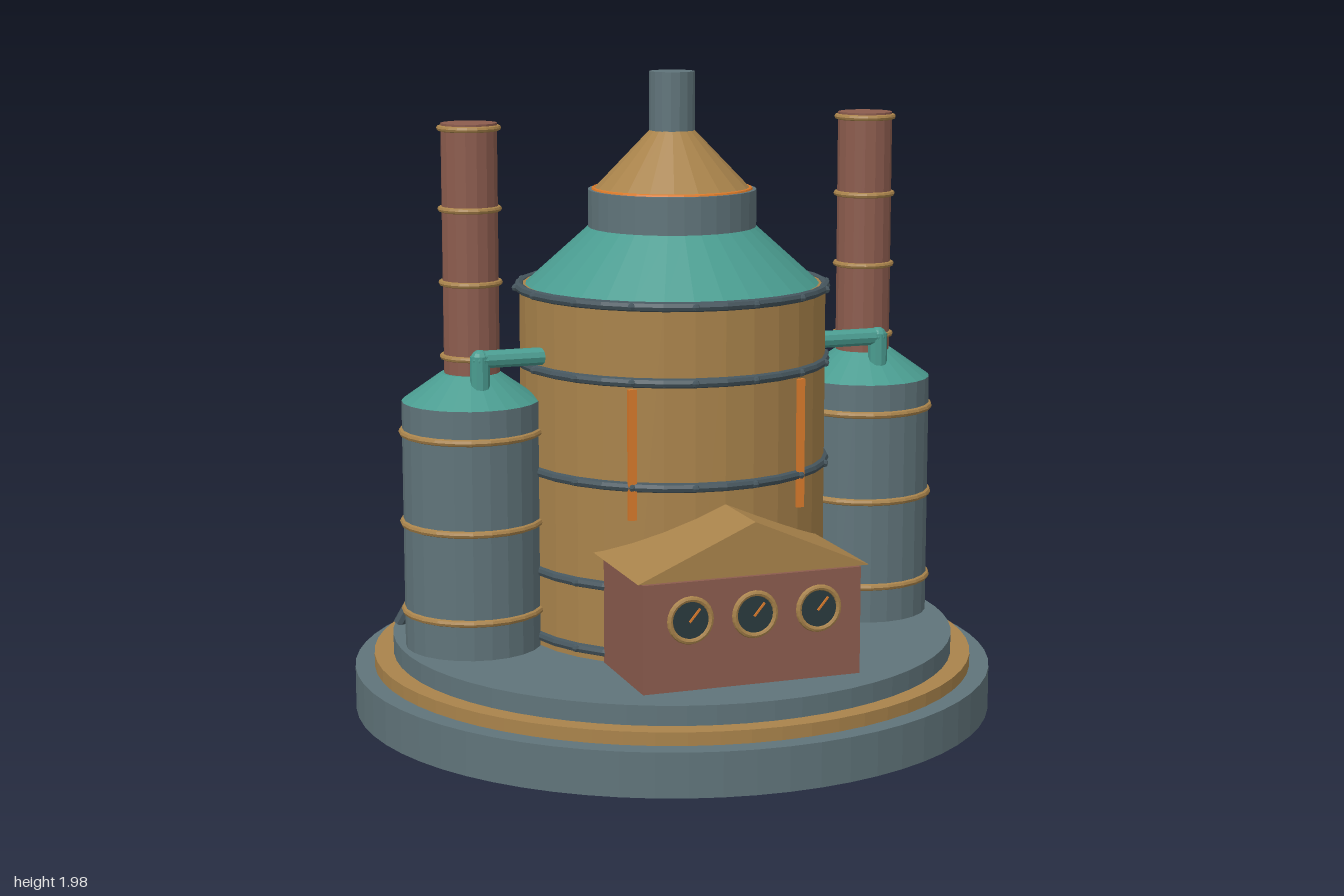
import * as THREE from 'three';

const paint = (color) => new THREE.MeshStandardMaterial({ color, flatShading: true });
const STEEL = paint(0x60747a), IRON = paint(0x46565e), BRASS = paint(0xa9834b), TEAL = paint(0x4a9c90);
const BRICK = paint(0x8c5c4e), ORANGE = paint(0xd97a2b), DARK = paint(0x2a3a3e);

function add(parent, name, geometry, material, x = 0, y = 0, z = 0) {
  const mesh = new THREE.Mesh(geometry, material);
  mesh.name = name;
  mesh.position.set(x, y, z);
  parent.add(mesh);
  return mesh;
}

// upright cylinder or cone frustum between two heights
function drum(parent, name, material, r0, r1, y0, y1, sides = 32) {
  return add(parent, name, new THREE.CylinderGeometry(r1, r0, y1 - y0, sides), material, 0, (y0 + y1) / 2, 0);
}

// horizontal hoop
function hoop(parent, name, material, r, tube, y, sides = 32) {
  const mesh = add(parent, name, new THREE.TorusGeometry(r, tube, 8, sides), material, 0, y, 0);
  mesh.rotation.x = Math.PI / 2;
  return mesh;
}

// round bar between two points
function rod(parent, name, material, a, b, r, sides = 10) {
  const from = new THREE.Vector3(...a), to = new THREE.Vector3(...b);
  const dir = to.clone().sub(from);
  const mesh = add(parent, name, new THREE.CylinderGeometry(r, r, dir.length(), sides), material);
  mesh.position.copy(from).add(to).multiplyScalar(0.5);
  mesh.quaternion.setFromUnitVectors(new THREE.Vector3(0, 1, 0), dir.normalize());
  return mesh;
}

function group(parent, name, x = 0) {
  const g = new THREE.Group();
  g.name = name;
  g.position.x = x;
  parent.add(g);
  return g;
}

function buildBase(model) {
  const base = group(model, 'base');
  drum(base, 'foundation', STEEL, 1, 1, 0, 0.135, 64);
  drum(base, 'brassStep', BRASS, 0.94, 0.94, 0.135, 0.175, 64);
  drum(base, 'deck', STEEL, 0.88, 0.88, 0.175, 0.235, 64);
}

function buildBoiler(model) {
  const boiler = group(model, 'boiler');
  drum(boiler, 'boilerShell', BRASS, 0.475, 0.475, 0.235, 1.33);
  const rivet = new THREE.SphereGeometry(0.012, 6, 4);
  for (const y of [0.265, 0.47, 0.78, 1.095, 1.322]) {
    hoop(boiler, 'boilerHoop', IRON, 0.475, 0.015, y);
    for (let i = 0; i < 16; i++) {
      const a = ((i + 0.5) / 16) * Math.PI * 2;
      add(boiler, 'rivet', rivet, IRON, Math.sin(a) * 0.487, y, Math.cos(a) * 0.487);
    }
  }
  // stepped roof and vent
  drum(boiler, 'tealShoulder', TEAL, 0.455, 0.26, 1.33, 1.505);
  drum(boiler, 'collar', STEEL, 0.26, 0.26, 1.5, 1.62);
  hoop(boiler, 'glowRing', ORANGE, 0.242, 0.007, 1.62);
  drum(boiler, 'brassCap', BRASS, 0.243, 0.07, 1.62, 1.8, 20);
  drum(boiler, 'vent', STEEL, 0.07, 0.07, 1.79, 1.98, 16);
  // glowing sight strips
  for (const s of [-1, 1]) {
    add(boiler, 'glowStrip', new THREE.BoxGeometry(0.025, 0.395, 0.016), ORANGE, s * 0.268, 0.878, 0.4);
  }
}

function buildSideTank(model, s) {
  const tank = group(model, s > 0 ? 'leftTank' : 'rightTank', s * 0.65);
  drum(tank, 'tankShell', STEEL, 0.21, 0.21, 0.235, 1.0, 24);
  drum(tank, 'tankRoof', TEAL, 0.21, 0.09, 1.0, 1.085, 24);
  for (const y of [0.35, 0.625, 0.905]) hoop(tank, 'tankHoop', BRASS, 0.21, 0.011, y, 24);
  drum(tank, 'chimney', BRICK, 0.085, 0.085, 1.07, 1.84, 16).position.x = -s * 0.005;
  for (const y of [1.135, 1.36, 1.583, 1.825]) {
    hoop(tank, 'chimneyHoop', BRASS, 0.088, 0.009, y, 20).position.x = -s * 0.005;
  }

  // pipe from tank roof to boiler
  rod(tank, 'pipeRiser', TEAL, [0, 1.05, 0.11], [0, 1.15, 0.11], 0.03);
  rod(tank, 'pipeRun', TEAL, [s * 0.005, 1.14, 0.11], [-s * 0.2, 1.14, 0.11], 0.027);
  add(tank, 'pipeElbow', new THREE.SphereGeometry(0.03, 10, 8), TEAL, 0, 1.14, 0.11);

  // brace and rear cabinet
  rod(model, 'brace', IRON, [s * 0.45, 0.92, -0.172], [s * 0.815, 0.235, -0.292], 0.02, 8);
  add(model, 'rearCabinet', new THREE.BoxGeometry(0.165, 0.445, 0.205), BRICK, s * 0.6, 0.4575, -0.525);
}

function buildControlHouse(model) {
  const house = group(model, 'controlHouse');
  add(house, 'houseWalls', new THREE.BoxGeometry(0.68, 0.325, 0.36), BRICK, 0, 0.3975, 0.525);
  // gable roof, ridge running front to back
  const gable = new THREE.Shape([
    new THREE.Vector2(-0.36, 0.568), new THREE.Vector2(0.36, 0.568), new THREE.Vector2(0, 0.725),
  ]);
  add(house, 'houseRoof', new THREE.ExtrudeGeometry(gable, { depth: 0.42, bevelEnabled: false }), BRASS, 0, 0, 0.3);

  for (const i of [-1, 0, 1]) {
    const gauge = group(house, 'gauge', i * 0.2);
    gauge.position.set(i * 0.2, 0.45, 0.705);
    add(gauge, 'gaugeFace', new THREE.CylinderGeometry(0.063, 0.063, 0.024, 20), DARK, 0, 0, 0.005).rotation.x = Math.PI / 2;
    add(gauge, 'gaugeRim', new THREE.TorusGeometry(0.063, 0.009, 8, 24), BRASS, 0, 0, 0.015);
    const needle = add(gauge, 'gaugeNeedle', new THREE.BoxGeometry(0.006, 0.05, 0.005), ORANGE, 0.012, 0.014, 0.019);
    needle.rotation.z = -0.7;
  }
}

export function createModel() {
  const model = new THREE.Group();
  model.name = 'boilerPlant';
  buildBase(model);
  buildBoiler(model);
  for (const s of [-1, 1]) buildSideTank(model, s);
  buildControlHouse(model);
  return model;
}
